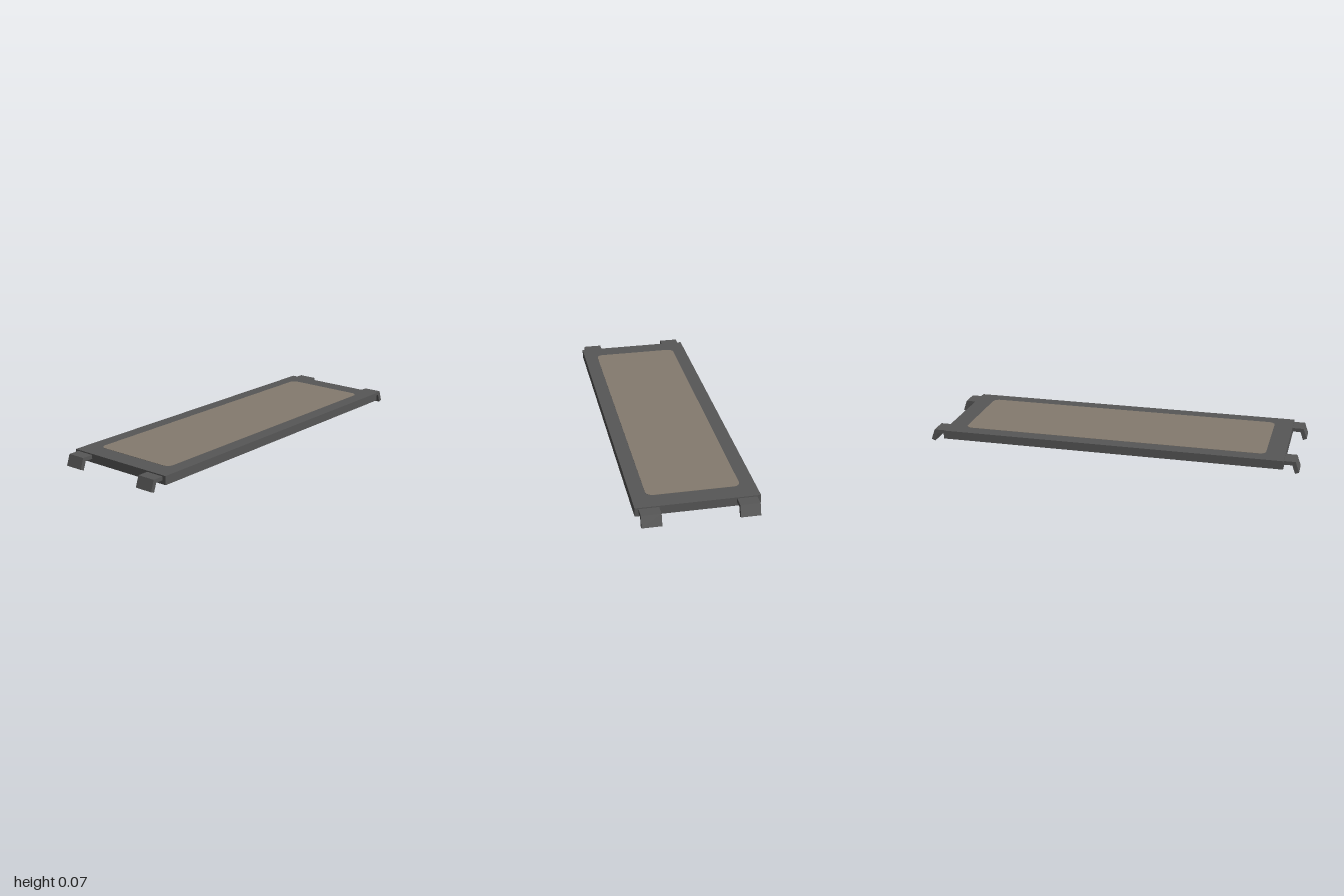
import * as THREE from 'three';

export function createModel() {
  const model = new THREE.Group();
  const frameMat = new THREE.MeshStandardMaterial({ color: 0x575757 });
  frameMat.name = 'dark grey';
  const panelMat = new THREE.MeshStandardMaterial({ color: 0x857b6f });
  panelMat.name = 'warm taupe';

  const add = (name, geometry, material, parent = model) => {
    const mesh = new THREE.Mesh(geometry, material);
    mesh.name = name;
    parent.add(mesh);
    return mesh;
  };

  // Flat slab
  const slab = add('slab', new THREE.BoxGeometry(0.62, 0.046, 1.84), frameMat);
  slab.position.y = 0.048;

  // Thin inlay with rounded corners
  const w = 0.235, l = 0.82, r = 0.035;
  const outline = new THREE.Shape();
  outline.absarc(w - r, l - r, r, 0, Math.PI / 2);
  outline.absarc(-w + r, l - r, r, Math.PI / 2, Math.PI);
  outline.absarc(-w + r, -l + r, r, Math.PI, Math.PI * 1.5);
  outline.absarc(w - r, -l + r, r, Math.PI * 1.5, Math.PI * 2);
  const inlayGeo = new THREE.ExtrudeGeometry(outline, { depth: 0.002, bevelEnabled: false, curveSegments: 5 });
  inlayGeo.rotateX(-Math.PI / 2);
  add('inlayPanel', inlayGeo, panelMat).position.y = 0.0702;

  // Bent hook profile as (z, y), extruded across x
  const profile = new THREE.Shape([
    [0.91, 0.045], [0.964, 0.045], [0.98, 0], [1.0, 0.008], [0.98, 0.065], [0.91, 0.065],
  ].map(([z, y]) => new THREE.Vector2(z, y)));
  const hookGeo = new THREE.ExtrudeGeometry(profile, { depth: 0.1, bevelEnabled: false });
  hookGeo.translate(0, 0, -0.05);
  hookGeo.rotateY(-Math.PI / 2);

  // Two hooks at each end
  for (const end of ['front', 'back']) {
    const pair = new THREE.Group();
    pair.name = end + 'Hooks';
    if (end === 'back') pair.rotation.y = Math.PI;
    for (const x of [-0.241, 0.241]) add('hook', hookGeo, frameMat, pair).position.x = x;
    model.add(pair);
  }
  return model;
}
